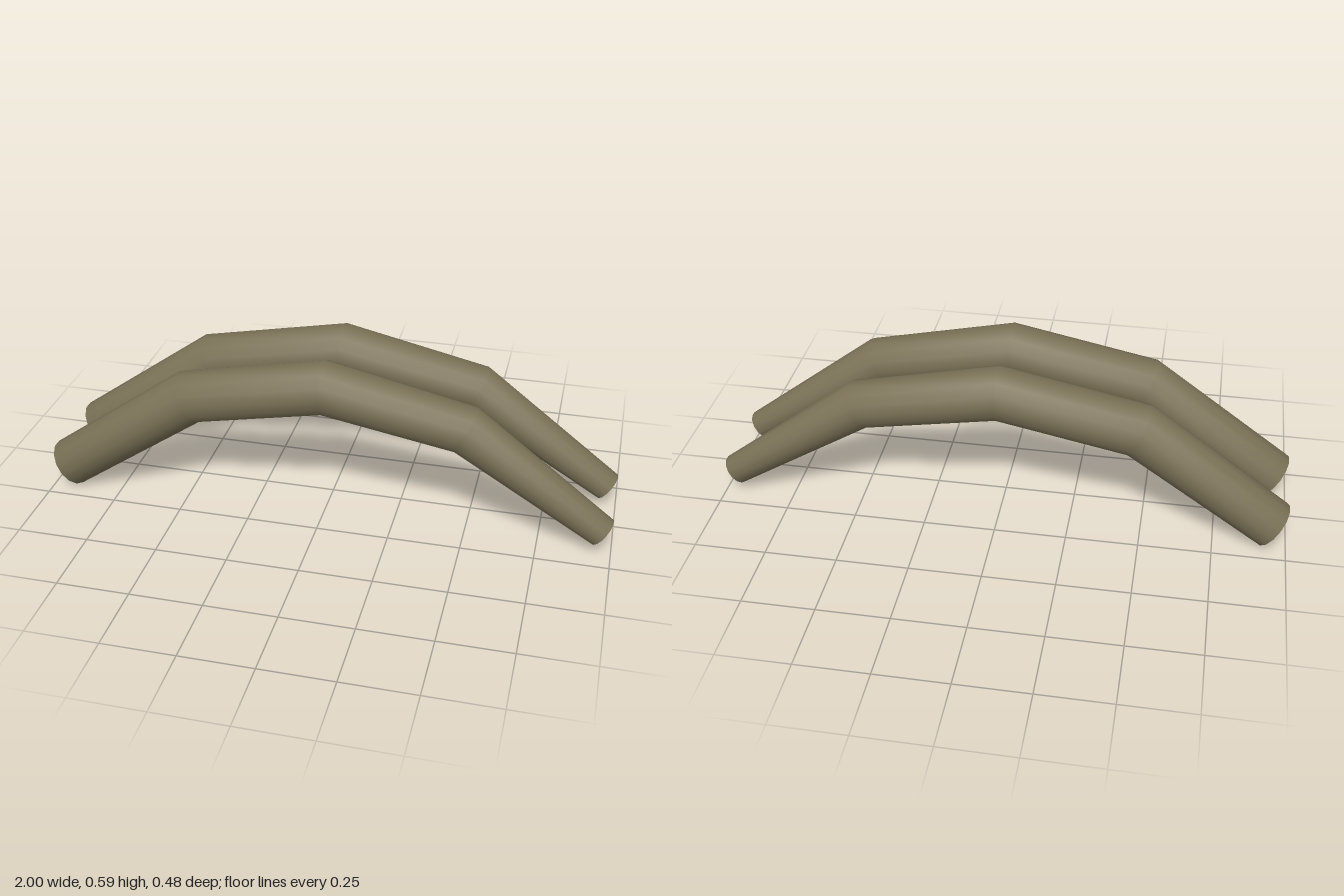
import * as THREE from 'three';

const SIDES = 14;
const FLAT = Math.cos(Math.PI / SIDES); // flat-to-centre ratio of the cross-section

// Each ring of the bent tube: top x, top y, bottom x, bottom y, radius
const RINGS = [
  [-1.0, 0.143, -0.904, 0.002, 0.087],
  [-0.514, 0.492, -0.436, 0.325, 0.094],
  [0.003, 0.595, 0.003, 0.412, 0.095],
  [0.52, 0.483, 0.45, 0.332, 0.086],
  [0.998, 0.117, 0.933, 0.031, 0.055],
];

// Lofts the rings into one smooth, capped tube
function bentTubeGeometry() {
  const pos = [], index = [];
  for (const [tx, ty, bx, by, r] of RINGS) {
    const cx = (tx + bx) / 2, cy = (ty + by) / 2;
    const ux = (tx - bx) / 2 / FLAT, uy = (ty - by) / 2 / FLAT;
    for (let j = 0; j < SIDES; j++) {
      const a = (j / SIDES) * Math.PI * 2;
      pos.push(cx + ux * Math.sin(a), cy + uy * Math.sin(a), r * Math.cos(a));
    }
  }
  const last = RINGS.length - 1;
  const startCentre = pos.length / 3, endCentre = startCentre + 1;
  for (const i of [0, last]) {
    const [tx, ty, bx, by] = RINGS[i];
    pos.push((tx + bx) / 2, (ty + by) / 2, 0);
  }
  for (let j = 0; j < SIDES; j++) {
    const k = (j + 1) % SIDES;
    for (let i = 0; i < last; i++) {
      const a = i * SIDES, b = a + SIDES;
      index.push(a + j, b + j, a + k, b + j, b + k, a + k);
    }
    index.push(startCentre, j, k);
    index.push(endCentre, last * SIDES + k, last * SIDES + j);
  }
  const geo = new THREE.BufferGeometry();
  geo.setAttribute('position', new THREE.Float32BufferAttribute(pos, 3));
  geo.setIndex(index);
  geo.computeVertexNormals();
  return geo;
}

export function createModel() {
  const model = new THREE.Group();
  model.name = 'archedTubes';
  const olive = new THREE.MeshStandardMaterial({ color: 0x7a7156 });
  olive.name = 'olive';

  // Two parallel arched tubes
  const geo = bentTubeGeometry();
  for (const [name, z] of [['frontTube', 0.145], ['backTube', -0.145]]) {
    const tube = new THREE.Mesh(geo, olive);
    tube.name = name;
    tube.position.z = z;
    model.add(tube);
  }
  return model;
}
